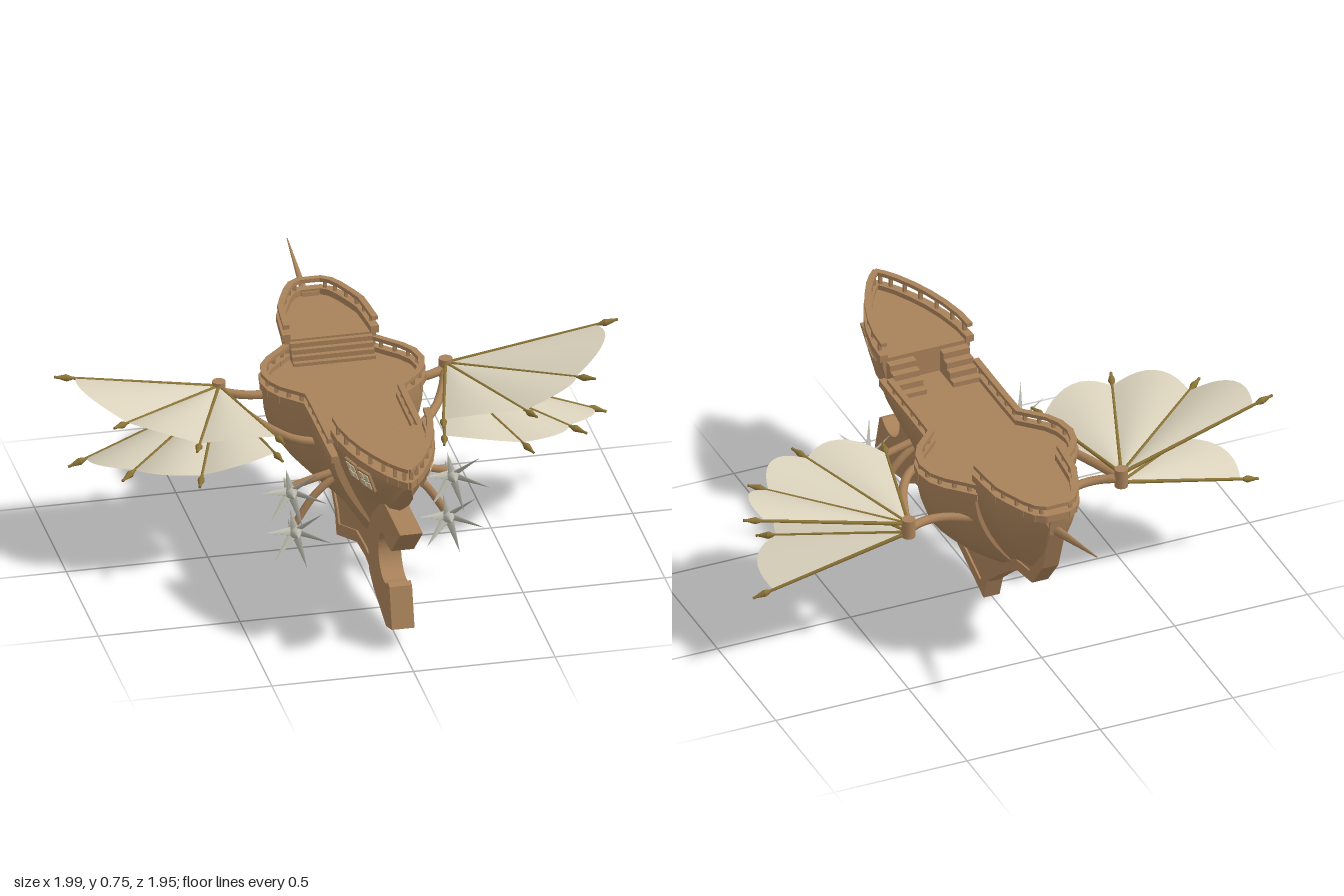
import * as THREE from 'three';
import { mergeVertices } from 'three/addons/utils/BufferGeometryUtils.js';

const mat = (name, color, side = THREE.FrontSide) => {
  const m = new THREE.MeshStandardMaterial({ color, side });
  m.name = name;
  return m;
};
const V = (x, y, z) => new THREE.Vector3(x, y, z);
const N = 10; // hull segments from deck to keel

export function createModel() {
  const model = new THREE.Group();
  model.name = 'wingedAirship';
  const wood = mat('wood', 0xa9825a);
  const sail = mat('sailCloth', 0xd9d1bb, THREE.DoubleSide);
  const gold = mat('ribGold', 0x8c7436);
  const metal = mat('propellerMetal', 0xb8b8ac);
  const pane = mat('windowPane', 0xcdbf9c);

  const add = (geo, m, name, parent = model) => {
    const mesh = new THREE.Mesh(geo, m);
    mesh.name = name;
    parent.add(mesh);
    return mesh;
  };
  const box = (name, w, h, d, x, y, z, m = wood) => add(new THREE.BoxGeometry(w, h, d).translate(x, y, z), m, name);
  // box beam from a to b
  const beam = (name, a, b, w, h) => {
    const mesh = add(new THREE.BoxGeometry(w, h, a.distanceTo(b) + w * 0.4), wood, name);
    mesh.position.copy(a).lerp(b, 0.5);
    mesh.lookAt(b);
  };
  // tapered rod from a to b
  const rod = (name, a, b, r0, r1, m, parent = model, sides = 8) => {
    const mesh = add(new THREE.CylinderGeometry(r1, r0, a.distanceTo(b), sides), m, name, parent);
    mesh.position.copy(a).lerp(b, 0.5);
    mesh.quaternion.setFromUnitVectors(V(0, 1, 0), b.clone().sub(a).normalize());
    return mesh;
  };
  const tube = (name, pts, r, parent = model) =>
    add(new THREE.TubeGeometry(new THREE.CatmullRomCurve3(pts), 14, r, 8), wood, name, parent);

  // Hull stations: z, half width, bottom y, fullness
  const bow = [[-0.63, 0.045, 0.58, 1.6], [-0.61, 0.075, 0.52, 1.7], [-0.57, 0.1, 0.45, 1.8], [-0.5, 0.13, 0.37, 2],
    [-0.45, 0.148, 0.33, 2], [-0.38, 0.155, 0.31, 2], [-0.3, 0.162, 0.26, 2]];
  const waist = [[-0.3, 0.162, 0.26, 2], [-0.26, 0.2, 0.24, 2.2], [-0.22, 0.24, 0.22, 2.4], [-0.17, 0.272, 0.2, 2.5],
    [-0.11, 0.283, 0.19, 2.6], [-0.05, 0.272, 0.18, 2.5], [0.0, 0.245, 0.17, 2.4], [0.04, 0.205, 0.165, 2.2],
    [0.075, 0.17, 0.165, 2], [0.2, 0.168, 0.18, 1.8], [0.35, 0.168, 0.21, 1.6], [0.49, 0.167, 0.28, 1.5]];
  const stern = [[0.49, 0.167, 0.28, 1.5], [0.56, 0.163, 0.36, 1.5], [0.65, 0.145, 0.44, 1.6], [0.73, 0.12, 0.48, 1.7],
    [0.8, 0.09, 0.53, 1.7], [0.86, 0.058, 0.59, 1.6], [0.9, 0.03, 0.645, 1.4], [0.925, 0.006, 0.67, 1.2]];
  const keelHalf = (w) => Math.min(0.03, w * 0.6);
  const hullX = ([, w, , p], t) => Math.max(w * (1 - t ** p), keelHalf(w) * (t < 1 ? 1 : 0));

  function hullSection(name, stations, deckY) {
    const side = [], flat = [], idx = [], M = 2 * N + 1;
    const P = (i, j) => {
      const s = stations[i], t = 1 - Math.abs(j - N) / N;
      return [Math.sign(N - j) * hullX(s, t), deckY + (s[2] - deckY) * t, s[0]];
    };
    const quad = (a, b, c, d) => flat.push(...a, ...b, ...c, ...c, ...b, ...d);
    const last = stations.length - 1;
    for (let i = 0; i <= last; i++) for (let j = 0; j < M; j++) side.push(...P(i, j));
    for (let i = 0; i < last; i++) {
      for (let j = 0; j < M - 1; j++) {
        const a = i * M + j, b = a + M;
        idx.push(a, b, a + 1, a + 1, b, b + 1);
      }
      quad(P(i, M - 1), P(i + 1, M - 1), P(i, 0), P(i + 1, 0));
    }
    // bulkheads closing both ends
    for (let j = 0; j < N; j++) {
      const k = M - 1 - j;
      quad(P(last, j), P(last, k), P(last, j + 1), P(last, k - 1));
      quad(P(0, k), P(0, j), P(0, k - 1), P(0, j + 1));
    }
    const g = new THREE.BufferGeometry();
    g.setAttribute('position', new THREE.Float32BufferAttribute(side, 3));
    g.setIndex(idx);
    const shell = mergeVertices(g);
    shell.computeVertexNormals();
    add(shell, wood, name + 'Hull');
    const f = new THREE.BufferGeometry();
    f.setAttribute('position', new THREE.Float32BufferAttribute(flat, 3));
    f.computeVertexNormals();
    add(f, wood, name + 'Deck');
  }
  hullSection('bow', bow, 0.655);
  hullSection('waist', waist, 0.585);
  hullSection('stern', stern, 0.685);

  // Gunwale trim, hand rails and posts along each deck edge
  function railing(name, stations, trimY, railY, closeEnd, skip = 0) {
    for (const s of [1, -1]) {
      const edge = stations.map(([z, w]) => V(s * Math.max(w - 0.006, 0), 0, z));
      const lift = (p, y) => p.clone().setY(y);
      for (let i = 0; i < edge.length - 1; i++) {
        beam(name + 'Gunwale', lift(edge[i], trimY), lift(edge[i + 1], trimY), 0.03, 0.026);
        if (i >= edge.length - 1 - skip) continue;
        beam(name + 'Rail', lift(edge[i], railY), lift(edge[i + 1], railY), 0.022, 0.014);
        const gap = edge[i].distanceTo(edge[i + 1]), n = Math.max(1, Math.round(gap / 0.08));
        for (let k = 0; k < n; k++) {
          const p = edge[i].clone().lerp(edge[i + 1], (k + 0.5) / n);
          box(name + 'Post', 0.012, railY - trimY, 0.012, p.x, (railY + trimY) / 2, p.z);
        }
      }
      if (closeEnd) {
        beam(name + 'Gunwale', lift(edge[0], trimY), V(0, trimY, edge[0].z), 0.03, 0.026);
        beam(name + 'Rail', lift(edge[0], railY), V(0, railY, edge[0].z), 0.022, 0.014);
      }
    }
  }
  railing('bow', bow, 0.665, 0.708, true);
  railing('waist', [...waist.slice(0, -1), [0.43, 0.168], [0.49, 0.167]], 0.59, 0.632, false, 1);
  railing('stern', stern, 0.69, 0.745, false);

  // Stairs
  for (let i = 0; i < 4; i++) {
    const h = 0.017 * (i + 1);
    box('foreStair', 0.29, h, 0.018, 0, 0.58 + h / 2, -0.238 - i * 0.0175);
    const k = 0.023 * (i + 1);
    for (const s of [1, -1]) box('aftStair', 0.1, k, 0.03, s * 0.1, 0.58 + k / 2, 0.385 + i * 0.029);
  }

  // Keel and tail plates, drawn in z and y
  const plate = (name, shape, w) =>
    add(new THREE.ExtrudeGeometry(shape, { depth: w, bevelEnabled: false, curveSegments: 20 })
      .translate(0, 0, -w / 2).rotateY(-Math.PI / 2), wood, name);
  const shapeOf = (pts) => new THREE.Shape(pts.map(([z, y]) => new THREE.Vector2(z, y)));
  const keelLine = [[-0.645, 0.67], [-0.635, 0.59], [-0.575, 0.42], [-0.485, 0.31], [-0.35, 0.285], [-0.2, 0.175],
    [-0.1, 0.09], [-0.07, 0.005], [0.25, 0.135], [0.38, 0.145], [0.53, 0.125]];
  plate('keelBand', shapeOf([...keelLine, [0.5, 0.17], [0.37, 0.18], [0.23, 0.17], [-0.04, 0.06], [-0.07, 0.11],
    [-0.18, 0.2], [-0.33, 0.32], [-0.46, 0.345], [-0.54, 0.44], [-0.6, 0.6], [-0.61, 0.67]]), 0.06);
  plate('keelFin', shapeOf([[-0.6, 0.6], [-0.55, 0.43], [-0.47, 0.335], [-0.34, 0.3], [-0.18, 0.18], [-0.06, 0.04],
    [0.23, 0.15], [0.37, 0.16], [0.52, 0.14], [0.56, 0.45], [0.1, 0.45], [-0.4, 0.5]]), 0.046);
  const tail = shapeOf([[0.97, 0.52], [0.83, 0.39]]);
  tail.absarc(0.715, 0.305, 0.088, 1.1, 5.5, false);
  for (const [z, y] of [[0.8, 0.235], [0.84, 0.09], [0.75, 0.06], [0.55, 0.11], [0.48, 0.15], [0.47, 0.3],
    [0.55, 0.46], [0.7, 0.52]]) tail.lineTo(z, y);
  plate('tailFin', tail, 0.08);

  rod('bowsprit', V(0, 0.595, -0.61), V(0, 0.695, -0.975), 0.018, 0.002, wood);

  for (const s of [1, -1]) {
    // Stern windows with frames and glazing bars
    for (const z of [0.658, 0.74]) {
      const win = new THREE.Group();
      win.name = 'sternWindow';
      add(new THREE.BoxGeometry(0.07, 0.08, 0.009), wood, 'windowFrame', win);
      for (const a of [-1, 1]) for (const b of [-1, 1])
        add(new THREE.BoxGeometry(0.022, 0.026, 0.006).translate(a * 0.015, b * 0.017, 0.005), pane, 'windowPane', win);
      const i = stern.findIndex((q) => q[0] > z), A = stern[i - 1], B = stern[i];
      const f = (z - A[0]) / (B[0] - A[0]);
      const mid = A.map((v, k) => v + (B[k] - v) * f);
      const xAt = (y) => hullX(mid, (0.685 - y) / (0.685 - mid[2]));
      const out = V(s, -(xAt(0.66) - xAt(0.6)) / 0.06 * 1, -(B[1] - A[1]) / (B[0] - A[0]));
      win.position.set(s * (xAt(0.63) + 0.004), 0.63, z);
      win.lookAt(win.position.clone().add(out));
      model.add(win);
    }

    // Wing mount and arms
    const hub = V(s * 0.4, 0.5, -0.27);
    add(new THREE.CylinderGeometry(0.024, 0.024, 0.07, 12).translate(hub.x, 0.505, hub.z), wood, 'wingPivot');
    tube('foreArm', [hub, V(s * 0.33, 0.495, -0.24), V(s * 0.26, 0.49, -0.235), V(s * 0.15, 0.48, -0.27)], 0.016);
    tube('aftArm', [hub, V(s * 0.36, 0.495, -0.14), V(s * 0.3, 0.49, 0.0), V(s * 0.22, 0.48, 0.1), V(s * 0.12, 0.47, 0.13)], 0.016);

    // Upper and lower wings
    const wings = {
      upperWing: [[0.995, 0.652, -0.21], [0.85, 0.585, 0.085], [0.6, 0.56, 0.275], [0.28, 0.53, 0.225]],
      lowerWing: [[0.95, 0.31, -0.19], [0.82, 0.375, 0.08], [0.59, 0.42, 0.27], [0.285, 0.46, 0.22]],
    };
    for (const [name, list] of Object.entries(wings)) {
      const wing = new THREE.Group();
      wing.name = name;
      model.add(wing);
      const root = hub.clone().setY(name === 'upperWing' ? 0.52 : 0.485);
      const tips = list.map(([x, y, z]) => V(s * x, y, z));
      tips.forEach((tip, k) => {
        rod('wingRib', root, tip, 0.007, 0.005, gold, wing, 6);
        const at = (d) => tip.clone().addScaledVector(tip.clone().sub(root).normalize(), -d);
        rod('ribTip', at(0.045), tip, 0.013, 0.002, gold, wing);
        rod('ribCollar', at(0.065), at(0.045), 0.006, 0.013, gold, wing);
        if (k === 3) return;
        // cloth panel billowing between two ribs
        const g = new THREE.PlaneGeometry(1, 1, 10, 8), p = g.attributes.position;
        for (let i = 0; i < p.count; i++) {
          const u = p.getX(i) + 0.5, r = p.getY(i) + 0.5, b = Math.sin(Math.PI * u);
          const q = tip.clone().lerp(tips[k + 1], u).sub(root).multiplyScalar(r * 0.87 * (1 + 0.13 * b)).add(root);
          p.setXYZ(i, q.x, q.y + 0.03 * b * r, q.z);
        }
        g.computeVertexNormals();
        add(g, sail, 'wingCloth', wing);
      });
    }

    // Propellers on curved struts
    for (const [x, y] of [[0.285, 0.405], [0.27, 0.25]]) {
      const prop = new THREE.Group();
      prop.name = 'propeller';
      prop.position.set(s * x, y, 0.34);
      model.add(prop);
      add(new THREE.ConeGeometry(0.024, 0.12, 10).rotateX(-Math.PI / 2).translate(0, 0, -0.05), metal, 'propellerNose', prop);
      add(new THREE.ConeGeometry(0.024, 0.05, 10).rotateX(Math.PI / 2).translate(0, 0, 0.035), metal, 'propellerTail', prop);
      for (let k = 0; k < 6; k++) {
        const a = k * Math.PI / 3 + 0.25;
        const blade = add(new THREE.ConeGeometry(0.02, 0.135, 6).scale(1, 1, 0.35).rotateY(0.6)
          .translate(0, 0.068, 0).rotateX(0.45), metal, 'propellerBlade', prop);
        blade.rotation.z = a;
      }
      tube('propellerStrut', [V(s * 0.08, 0.46, 0.31), V(s * 0.19, y * 0.4 + 0.27, 0.31), V(s * x, y, 0.31)], 0.014);
    }
  }
  return model;
}
